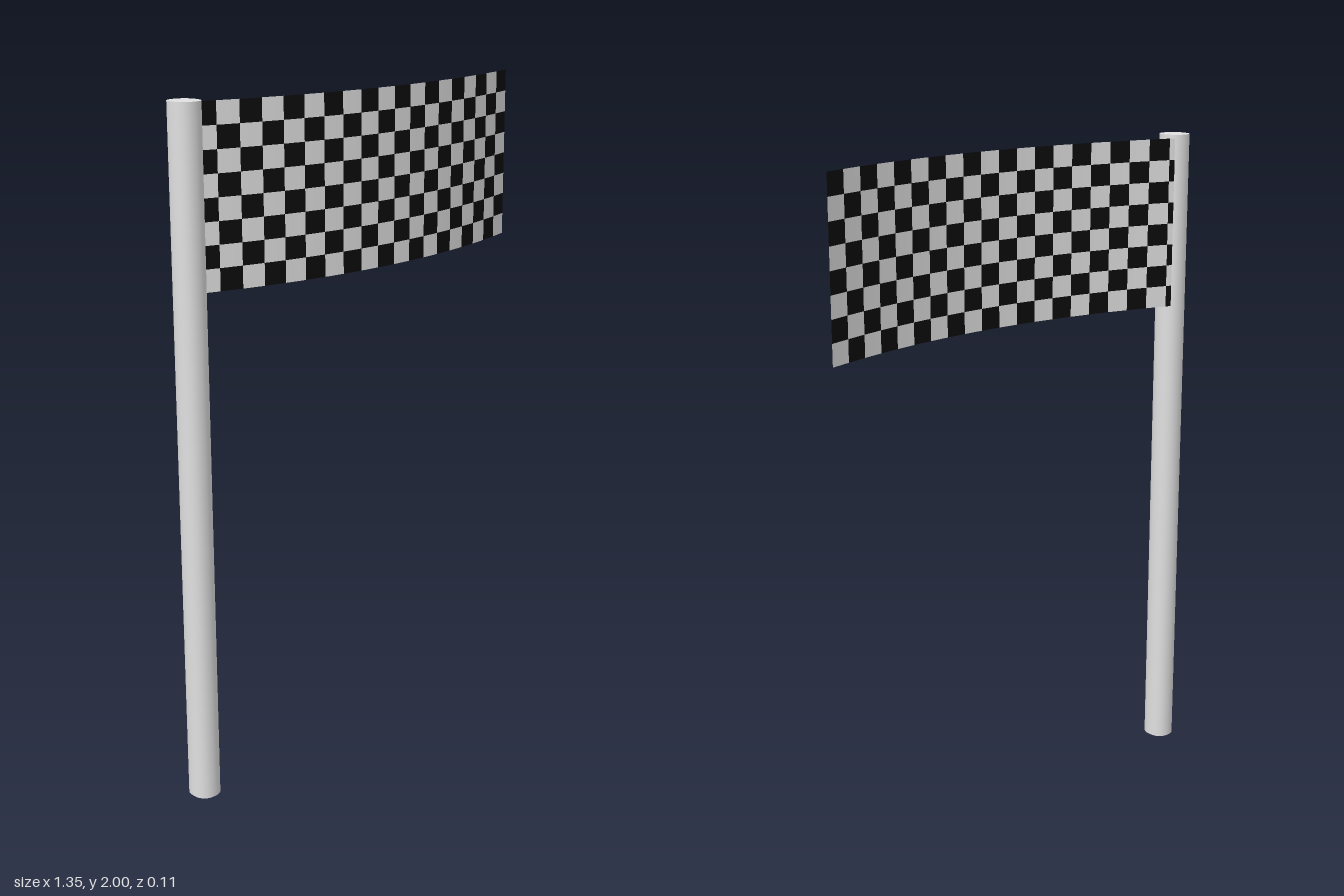
import * as THREE from 'three';
import { mergeGeometries } from 'three/addons/utils/BufferGeometryUtils.js';

const POLE = { x: -0.633, z: -0.01, rx: 0.042, rz: 0.045, height: 2 };
const FLAG = { left: -0.6, right: 0.675, bottom: 1.475, top: 1.99, rows: 8, cell: 0.0662 };
const MID = 0.035, BULGE = 0.055, BEND = 0.25;

// Depth of the billowing cloth at a given x
const depth = x => BULGE - BEND * (x - MID) ** 2;

// One check of the flag, bent along the curve with smooth normals
function clothCell(x0, x1, y0, y1) {
  const g = new THREE.PlaneGeometry(x1 - x0, y1 - y0, 3, 1);
  g.translate((x0 + x1) / 2, (y0 + y1) / 2, 0);
  const p = g.attributes.position;
  for (let i = 0; i < p.count; i++) {
    const x = p.getX(i);
    p.setZ(i, depth(x));
    const n = new THREE.Vector3(2 * BEND * (x - MID), 0, 1).normalize();
    g.attributes.normal.setXYZ(i, n.x, n.y, n.z);
  }
  return g;
}

export function createModel() {
  const model = new THREE.Group();
  const poleGrey = new THREE.MeshStandardMaterial({ color: 0xe0e0e0 });
  poleGrey.name = 'poleGrey';
  const white = new THREE.MeshStandardMaterial({ color: 0xe2e2e2, side: THREE.DoubleSide });
  white.name = 'clothWhite';
  const black = new THREE.MeshStandardMaterial({ color: 0x0c0c0c, side: THREE.DoubleSide });
  black.name = 'clothBlack';

  // Pole: a cylinder with a slightly squared cross-section
  const poleGeo = new THREE.CylinderGeometry(1, 1, POLE.height, 24);
  const p = poleGeo.attributes.position;
  const square = v => Math.sign(v) * Math.abs(v) ** 0.85;
  for (let i = 0; i < p.count; i++) {
    p.setX(i, square(p.getX(i)) * POLE.rx);
    p.setZ(i, square(p.getZ(i)) * POLE.rz);
  }
  poleGeo.translate(POLE.x, POLE.height / 2, POLE.z);
  const pole = new THREE.Mesh(poleGeo, poleGrey);
  pole.name = 'pole';
  model.add(pole);

  // Flag: checks counted from the free end, the last column clipped at the pole
  const checks = [[], []];
  const rowHeight = (FLAG.top - FLAG.bottom) / FLAG.rows;
  for (let col = 0, x1 = FLAG.right; x1 > FLAG.left + 0.001; col++, x1 -= FLAG.cell) {
    const x0 = Math.max(x1 - FLAG.cell, FLAG.left);
    for (let row = 0; row < FLAG.rows; row++) {
      const y1 = FLAG.top - row * rowHeight;
      checks[(col + row) % 2].push(clothCell(x0, x1, y1 - rowHeight, y1));
    }
  }
  const flag = new THREE.Group();
  flag.name = 'flag';
  [['blackChecks', black], ['whiteChecks', white]].forEach(([name, material], i) => {
    const mesh = new THREE.Mesh(mergeGeometries(checks[i]), material);
    mesh.name = name;
    flag.add(mesh);
  });
  model.add(flag);
  return model;
}
